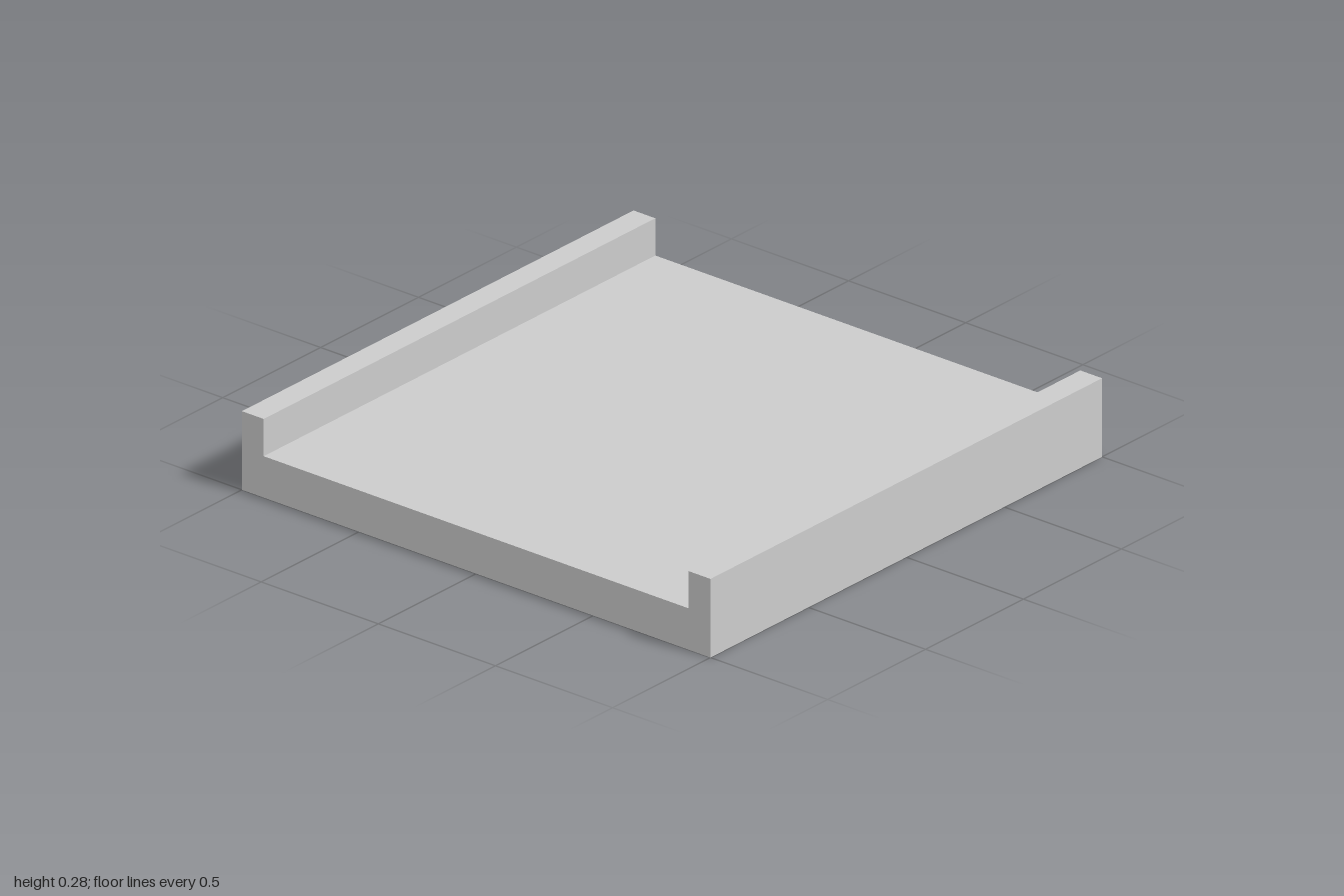
import * as THREE from 'three';

export function createModel() {
  const group = new THREE.Group();
  const half = 1, inner = 0.907, floor = 0.15, rim = 0.285, length = 2;

  // Channel cross-section: a slab with a raised kerb along each side
  const profile = new THREE.Shape([
    [-half, 0], [half, 0], [half, rim], [inner, rim],
    [inner, floor], [-inner, floor], [-inner, rim], [-half, rim],
  ].map(([x, y]) => new THREE.Vector2(x, y)));

  // Run the section straight from back to front
  const geometry = new THREE.ExtrudeGeometry(profile, { depth: length, bevelEnabled: false });
  geometry.translate(0, 0, -length / 2);

  const deck = new THREE.Mesh(geometry, new THREE.MeshStandardMaterial({ color: 0xcccccc }));
  deck.name = 'deckWithSideKerbs';
  group.add(deck);
  return group;
}
